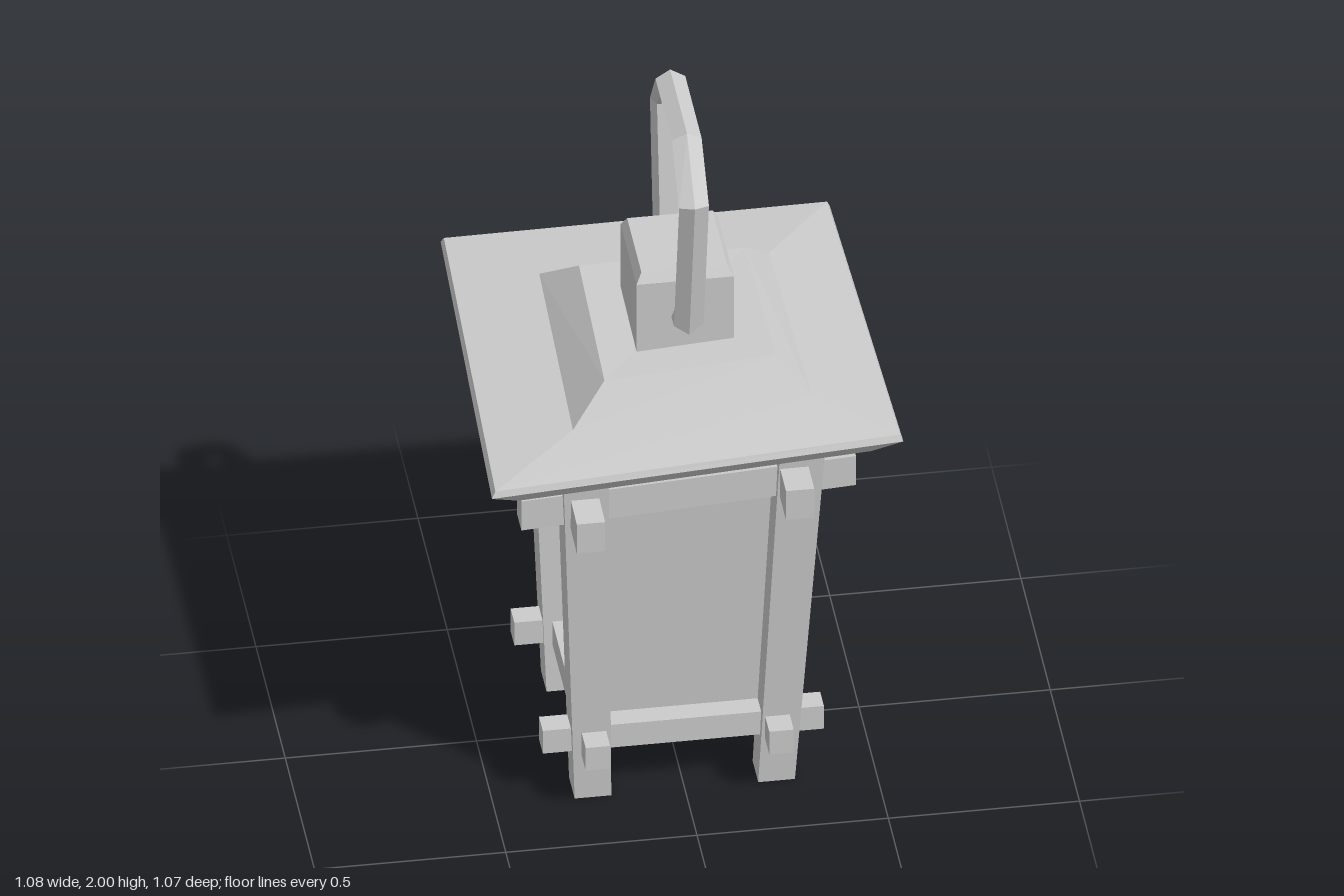
import * as THREE from 'three';

const material = new THREE.MeshStandardMaterial({ color: 0xcccccc, flatShading: true });

// Faceted solid through rings of points, counter-clockwise seen from the last ring's end.
function loft(name, rings) {
  const pos = [];
  const tri = (a, b, c) => pos.push(...a, ...b, ...c);
  const n = rings[0].length;
  for (let r = 0; r < rings.length - 1; r++) {
    for (let i = 0; i < n; i++) {
      const j = (i + 1) % n, lo = rings[r], hi = rings[r + 1];
      tri(lo[i], lo[j], hi[j]);
      tri(lo[i], hi[j], hi[i]);
    }
  }
  const first = rings[0], last = rings[rings.length - 1];
  for (let i = 1; i < n - 1; i++) {
    tri(first[0], first[i + 1], first[i]);
    tri(last[0], last[i], last[i + 1]);
  }
  const geometry = new THREE.BufferGeometry();
  geometry.setAttribute('position', new THREE.Float32BufferAttribute(pos, 3));
  geometry.computeVertexNormals();
  const mesh = new THREE.Mesh(geometry, material);
  mesh.name = name;
  return mesh;
}

// Horizontal rectangle: front left, front right, back right, back left.
const rect = (x0, x1, z0, z1, y) => [[x0, y, z1], [x1, y, z1], [x1, y, z0], [x0, y, z0]];

// Beams with a height at each end, running along x or along z.
function beamX(name, x0, y0, x1, y1, z, w, h) {
  const ring = (x, y) => [[x, y - h, z + w], [x, y - h, z - w], [x, y + h, z - w], [x, y + h, z + w]];
  return loft(name, [ring(x0, y0), ring(x1, y1)]);
}
function beamZ(name, z0, y0, z1, y1, x, w, h) {
  const ring = (z, y) => [[x - w, y - h, z], [x + w, y - h, z], [x + w, y + h, z], [x - w, y + h, z]];
  return loft(name, [ring(z0, y0), ring(z1, y1)]);
}

export function createModel() {
  const model = new THREE.Group();
  model.name = 'lantern';

  // Tapered body behind the frame
  model.add(loft('bodyPanels', [
    rect(-0.215, 0.215, -0.21, 0.22, 0.17),
    rect(-0.245, 0.268, -0.24, 0.285, 1.13),
  ]));

  // Four leaning posts that thicken upwards
  for (const sx of [-1, 1]) {
    for (const sz of [-1, 1]) {
      const bx = 0.24 * sx, bz = 0.003 + 0.24 * sz;
      const tx = sx < 0 ? -0.272 : 0.3, tz = sz < 0 ? -0.272 : 0.316;
      const top = sx < 0 && sz > 0 ? 1.13 : 1.17;
      model.add(loft('cornerPost', [
        rect(bx - 0.048, bx + 0.048, bz - 0.048, bz + 0.048, 0),
        rect(tx - 0.06, tx + 0.06, tz - 0.06, tz + 0.06, top),
      ]));
    }
  }

  // Lower rails
  for (const s of [-1, 1]) {
    model.add(beamX('lowerRail', -0.37, 0.182, 0.365, 0.182, 0.008 + 0.243 * s, 0.032, 0.036));
    model.add(beamZ('lowerRail', -0.36, 0.182, 0.375, 0.182, 0.24 * s, 0.032, 0.036));
  }

  // Upper rails, sagging at the front left corner
  model.add(beamX('upperRailFront', -0.435, 0.95, 0.44, 1.0, 0.305, 0.037, 0.046));
  model.add(beamX('upperRailBack', -0.42, 1.0, 0.44, 1.005, -0.27, 0.037, 0.046));
  model.add(beamZ('upperRailLeft', -0.43, 1.007, 0.465, 0.997, 0.275, 0.037, 0.046));
  model.add(beamZ('upperRailRight', -0.42, 1.005, 0.465, 0.95, -0.272, 0.037, 0.046));

  // Crooked roof: underside, rim, lower slope, upper slope
  model.add(loft('roof', [
    [[-0.46, 1.085, 0.46], [0.46, 1.15, 0.47], [0.44, 1.145, -0.47], [-0.44, 1.145, -0.46]],
    [[-0.54, 1.145, 0.525], [0.535, 1.215, 0.53], [0.505, 1.215, -0.535], [-0.512, 1.21, -0.535]],
    [[-0.53, 1.163, 0.518], [0.528, 1.232, 0.522], [0.497, 1.235, -0.525], [-0.505, 1.228, -0.525]],
    [[-0.3, 1.207, 0.34], [0.325, 1.25, 0.34], [0.31, 1.252, -0.3], [-0.29, 1.25, -0.3]],
    [[-0.207, 1.305, 0.27], [0.242, 1.335, 0.265], [0.235, 1.34, -0.21], [-0.2, 1.33, -0.21]],
  ]));

  // Chimney block with a bevelled top
  model.add(loft('topCap', [
    rect(-0.107, 0.147, -0.107, 0.167, 1.29),
    rect(-0.107, 0.147, -0.107, 0.167, 1.525),
    rect(-0.092, 0.132, -0.093, 0.15, 1.552),
  ]));

  // Handle: five-sided bar, each row holding outer z, y and inner z, y
  const path = [
    [0.15, 1.39, 0.15, 1.455],
    [0.22, 1.39, 0.193, 1.455],
    [0.315, 1.855, 0.272, 1.845],
    [0.178, 2.0, 0.166, 1.943],
    [-0.11, 2.0, -0.098, 1.943],
    [-0.213, 1.855, -0.177, 1.845],
    [-0.157, 1.395, -0.12, 1.455],
    [-0.09, 1.395, -0.09, 1.455],
  ];
  const cx = 0.023;
  model.add(loft('handle', path.map(([oz, oy, iz, iy]) => {
    const mz = oz + (iz - oz) * 0.38, my = oy + (iy - oy) * 0.38;
    return [
      [cx, oy, oz], [cx + 0.039, my, mz], [cx + 0.024, iy, iz],
      [cx - 0.024, iy, iz], [cx - 0.039, my, mz],
    ];
  })));

  return model;
}
